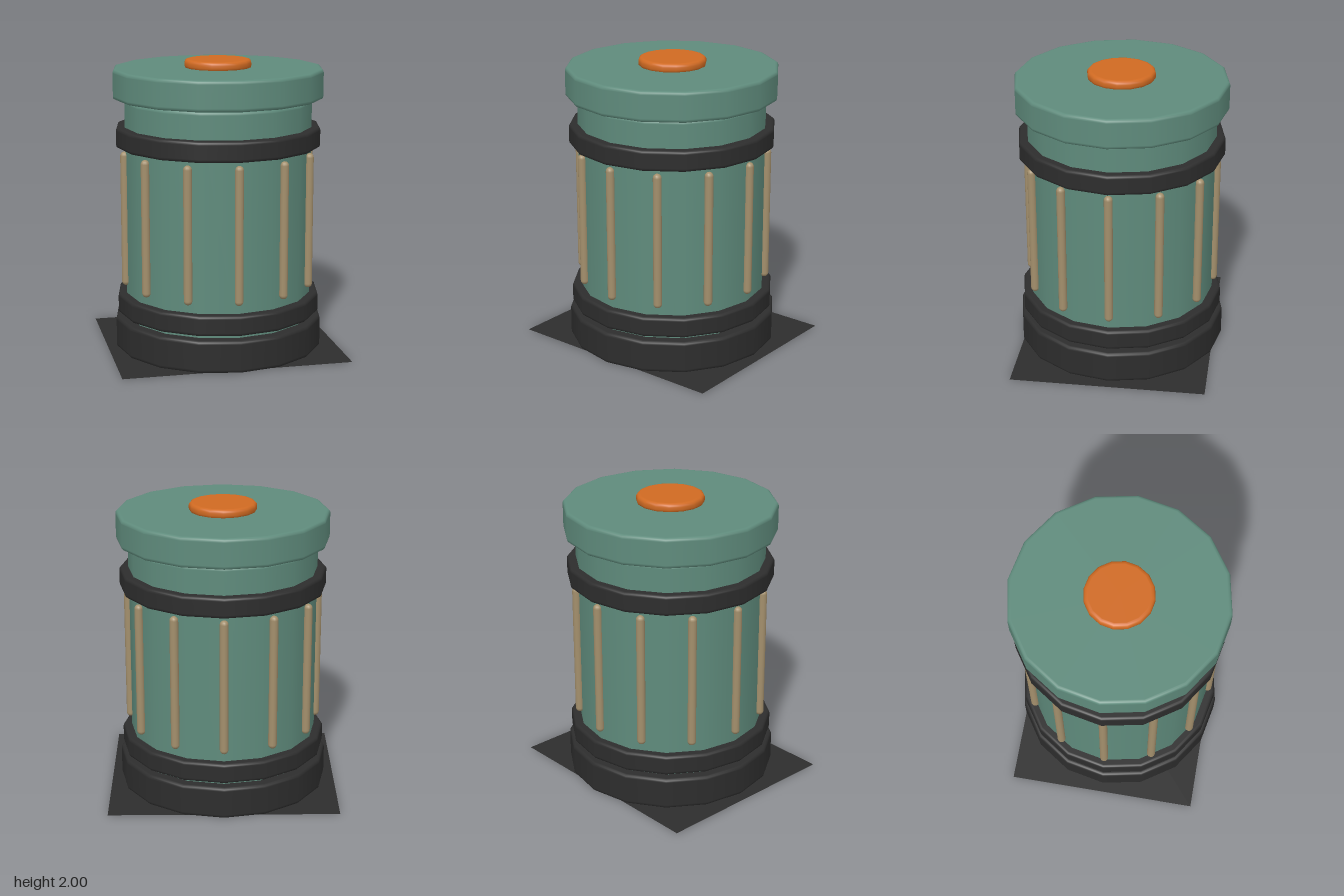
import * as THREE from 'three';

const SIDES = 16;

// Closed drum with softly rounded rims; extra points keep caps and walls flat.
function drum(name, radius, y0, y1, bevel, material) {
  const pts = [new THREE.Vector2(0, y0), new THREE.Vector2(radius - bevel - 0.004, y0)];
  const corner = (cy, from) => {
    for (let i = 0; i <= 3; i++) {
      const a = from + (i / 3) * Math.PI / 2;
      pts.push(new THREE.Vector2(radius - bevel + Math.cos(a) * bevel, cy + Math.sin(a) * bevel));
    }
  };
  corner(y0 + bevel, -Math.PI / 2);
  if (y1 - y0 > 2 * bevel + 0.02) {
    pts.push(new THREE.Vector2(radius, y0 + bevel + 0.004), new THREE.Vector2(radius, y1 - bevel - 0.004));
  }
  corner(y1 - bevel, 0);
  pts.push(new THREE.Vector2(radius - bevel - 0.004, y1), new THREE.Vector2(0, y1));
  const mesh = new THREE.Mesh(new THREE.LatheGeometry(pts, SIDES), material);
  mesh.name = name;
  return mesh;
}

export function createModel() {
  const mat = (name, color, extra = {}) => {
    const m = new THREE.MeshStandardMaterial({ color, ...extra });
    m.name = name;
    return m;
  };
  const green = mat('sage green', 0x5f8b7c);
  const dark = mat('charcoal', 0x2d2d2d, { side: THREE.DoubleSide });
  const tan = mat('tan', 0xa38f6c);
  const orange = mat('orange', 0xd06a22);

  const model = new THREE.Group();
  model.name = 'canister';

  // Stacked round parts
  model.add(
    drum('base', 0.722, 0, 0.222, 0.02, dark),
    drum('body', 0.645, 0.1, 1.735, 0.02, green),
    drum('lowerBand', 0.705, 0.25, 0.388, 0.018, dark),
    drum('upperBand', 0.705, 1.412, 1.55, 0.018, dark),
    drum('neck', 0.585, 1.7, 1.78, 0.005, green),
    drum('lid', 0.722, 1.742, 1.945, 0.02, green),
    drum('lidButton', 0.23, 1.935, 2.0, 0.024, orange)
  );

  // Vertical ribs around the body
  const ribs = new THREE.Group();
  ribs.name = 'ribs';
  const ribGeometry = new THREE.CapsuleGeometry(0.029, 0.882, 5, 12);
  for (let i = 0; i < 12; i++) {
    const a = (i / 12) * Math.PI * 2;
    const rib = new THREE.Mesh(ribGeometry, tan);
    rib.name = 'rib';
    rib.position.set(Math.sin(a) * 0.65, 0.915, Math.cos(a) * 0.65);
    ribs.add(rib);
  }
  model.add(ribs);

  // Flat sheet underneath
  const mat0 = new THREE.Mesh(new THREE.PlaneGeometry(1.57, 1.334), dark);
  mat0.name = 'groundPlate';
  mat0.rotation.x = -Math.PI / 2;
  mat0.position.y = 0.002;
  model.add(mat0);

  return model;
}
